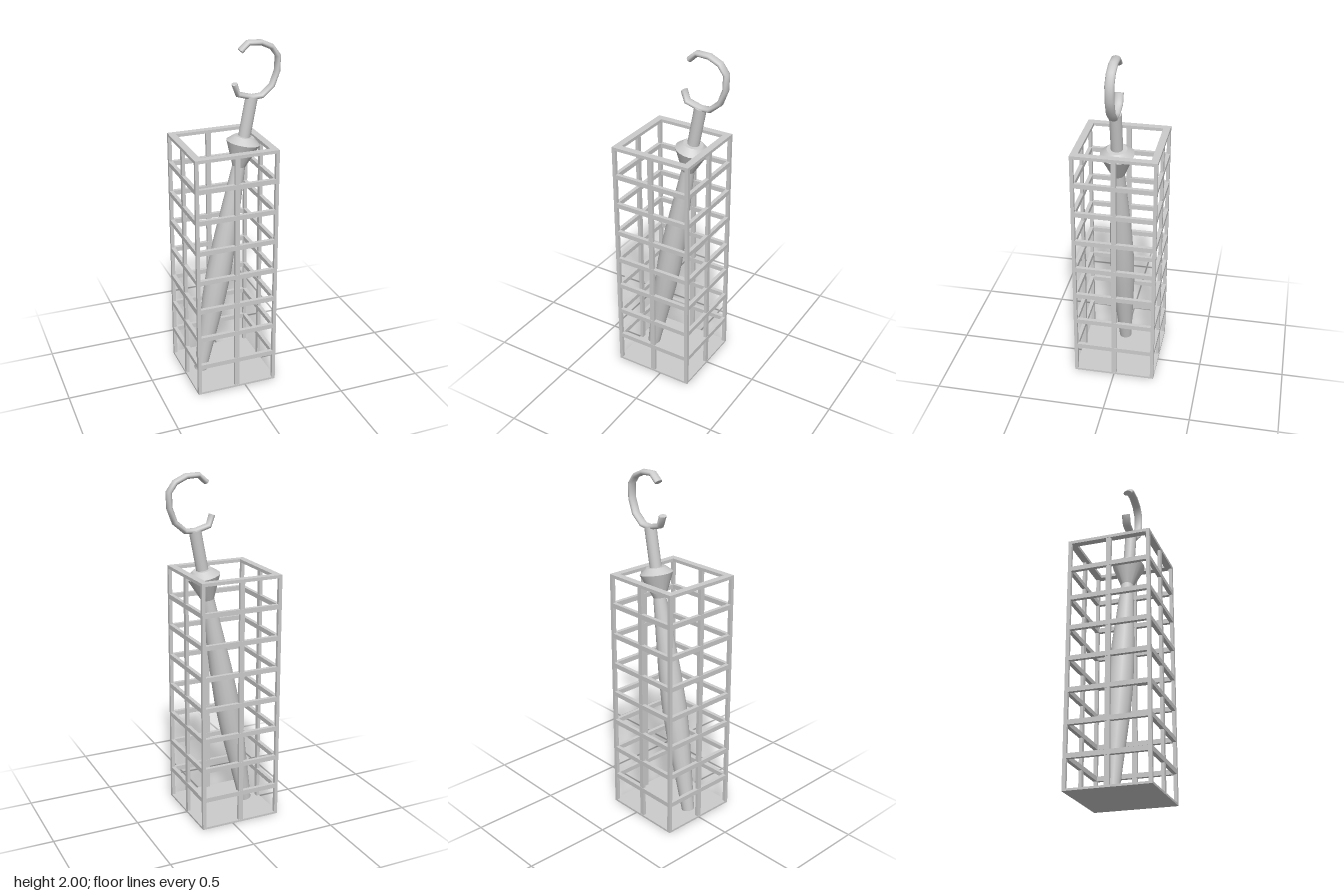
import * as THREE from 'three';
import { toCreasedNormals } from 'three/addons/utils/BufferGeometryUtils.js';

const material = new THREE.MeshStandardMaterial({ color: 0xcccccc });

function add(parent, name, geometry, x = 0, y = 0, z = 0) {
  const mesh = new THREE.Mesh(geometry, material);
  mesh.name = name;
  mesh.position.set(x, y, z);
  parent.add(mesh);
  return mesh;
}

const box = (w, h, d) => new THREE.BoxGeometry(w, h, d);

// Closed turned part from [radius, height] pairs, listed bottom to top
function turned(profile, sides = 16) {
  const points = profile.map(([r, y]) => new THREE.Vector2(r, y));
  return toCreasedNormals(new THREE.LatheGeometry(points, sides), 0.5);
}

// Path of straight runs, sampled exactly at its corners
class Polyline extends THREE.Curve {
  constructor(points) {
    super();
    this.points = points;
  }
  getPoint(t, target = new THREE.Vector3()) {
    const n = this.points.length - 1;
    const i = Math.min(Math.floor(t * n), n - 1);
    return target.lerpVectors(this.points[i], this.points[i + 1], t * n - i);
  }
  getPointAt(u, target) { return this.getPoint(u, target); }
  getTangentAt(u, target) { return this.getTangent(u, target); }
}

function createStand() {
  const stand = new THREE.Group();
  stand.name = 'stand';
  const half = 0.24, top = 1.45, post = 0.02, rungs = 8;

  add(stand, 'basePlate', box(half * 2, 0.012, half * 2), 0, 0.006, 0);

  // Corner posts
  const c = half - post / 2;
  for (const x of [-c, c]) for (const z of [-c, c]) {
    add(stand, 'cornerPost', box(post, top - 0.02, post), x, top / 2, z);
  }

  // Flat rim around the open top
  const rim = new THREE.Shape([[-1, -1], [1, -1], [1, 1], [-1, 1]]
    .map(([x, y]) => new THREE.Vector2(x * half, y * half)));
  rim.holes.push(new THREE.Path([[-1, -1], [-1, 1], [1, 1], [1, -1]]
    .map(([x, y]) => new THREE.Vector2(x * 0.2, y * 0.2))));
  const rimGeometry = new THREE.ExtrudeGeometry(rim, { depth: 0.018, bevelEnabled: false });
  rimGeometry.rotateX(-Math.PI / 2);
  add(stand, 'topRim', rimGeometry, 0, top - 0.018, 0);

  // Each of the four sides has a middle post and a ladder of rungs
  for (let i = 0; i < 4; i++) {
    const side = new THREE.Group();
    side.name = 'side';
    side.rotation.y = i * Math.PI / 2;
    add(side, 'middlePost', box(0.028, top - 0.02, 0.018), 0, top / 2, half - 0.011);
    for (let k = 1; k < rungs; k++) {
      add(side, 'rung', box(half * 2 - post * 2, 0.027, 0.022), 0, k * 0.1812 + 0.002, half - 0.011);
    }
    stand.add(side);
  }
  stand.position.x = -0.05;
  return stand;
}

function createUmbrella() {
  const umbrella = new THREE.Group();
  umbrella.name = 'umbrella';

  // Leaning body, built upright along its own axis
  const body = new THREE.Group();
  body.name = 'body';
  add(body, 'foldedCanopy', turned([
    [0, 0], [0.037, 0], [0.055, 0.28], [0.068, 0.48], [0.072, 0.65],
    [0.064, 0.88], [0.05, 1.1], [0.034, 1.34], [0, 1.34],
  ]));
  add(body, 'collar', turned([
    [0, 1.3], [0.036, 1.3], [0.095, 1.44], [0.056, 1.475], [0, 1.475],
  ], 20));
  add(body, 'shaft', new THREE.CylinderGeometry(0.034, 0.034, 0.24, 16), 0, 1.58, 0);
  body.position.set(-0.195, 0.015, 0);
  body.rotation.z = -0.188;
  umbrella.add(body);

  // Open hooked handle with an oval section
  const handle = new THREE.Group();
  handle.name = 'handle';
  const path = [
    [0.055, 1.942], [0.1, 1.982], [0.172, 1.979], [0.235, 1.95], [0.272, 1.9], [0.27, 1.817],
    [0.24, 1.737], [0.18, 1.686], [0.124, 1.682], [0.042, 1.706], [0.022, 1.765],
  ].map(([x, y]) => new THREE.Vector3(x, y, 0));
  const radius = 0.016;
  add(handle, 'handleHook', new THREE.TubeGeometry(new Polyline(path), path.length - 1, radius, 12));
  const n = path.length - 1;
  for (const [end, next] of [[path[0], path[1]], [path[n], path[n - 1]]]) {
    const cap = add(handle, 'handleEnd', new THREE.CircleGeometry(radius, 12), end.x, end.y, 0);
    const outward = end.clone().sub(next).normalize();
    cap.quaternion.setFromUnitVectors(new THREE.Vector3(0, 0, 1), outward);
  }
  handle.scale.z = 1.6;
  umbrella.add(handle);
  return umbrella;
}

export function createModel() {
  const model = new THREE.Group();
  model.name = 'umbrellaStand';
  model.add(createStand(), createUmbrella());
  return model;
}
